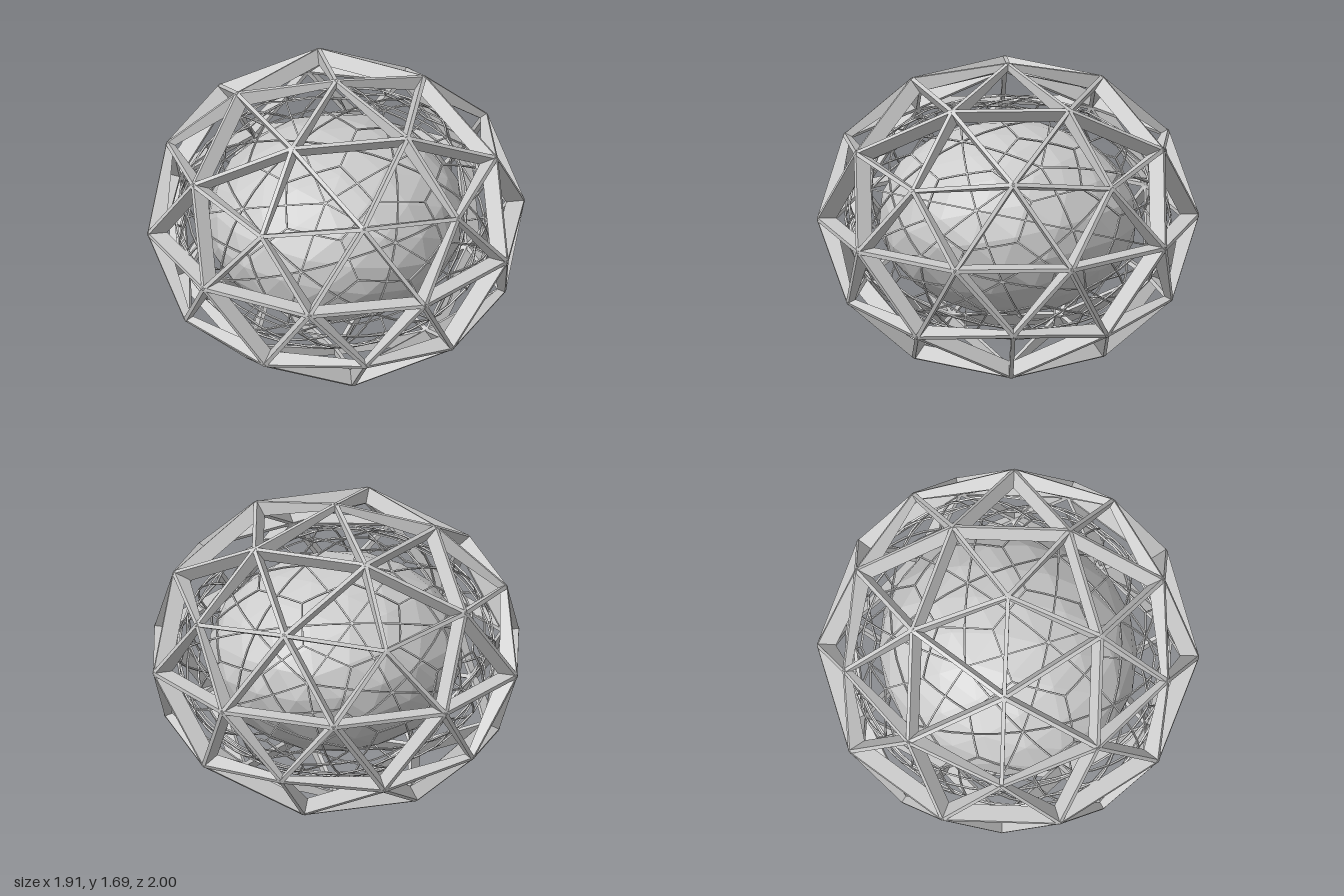
import * as THREE from 'three';
import { mergeGeometries } from 'three/addons/utils/BufferGeometryUtils.js';
import { ConvexGeometry } from 'three/addons/geometries/ConvexGeometry.js';

const CENTRE_Y = 0.845;
const grey = () => new THREE.MeshStandardMaterial({ color: 0xcccccc, flatShading: true });

// Index pairs of points closer than a limit
function closePairs(points, limit) {
  const pairs = [];
  points.forEach((p, i) => {
    for (let j = i + 1; j < points.length; j++) if (p.distanceTo(points[j]) < limit) pairs.push([i, j]);
  });
  return pairs;
}

// Two-frequency geodesic sphere with a corner at each pole; the 12 corners come first
function geodesic() {
  const points = [new THREE.Vector3(0, 1, 0), new THREE.Vector3(0, -1, 0)];
  const y = 1 / Math.sqrt(5), r = 2 * y;
  for (let k = 0; k < 5; k++) {
    const a = k * Math.PI * 0.4;
    const p = new THREE.Vector3(r * Math.cos(a), y, r * Math.sin(a));
    points.push(p, p.clone().negate());
  }
  for (const [i, j] of closePairs(points, 1.2)) {
    points.push(points[i].clone().add(points[j]).normalize());
  }
  return { points, edges: closePairs(points, 0.7) };
}

// Same net turned a quarter about z, so its poles lie along x
function turned({ points, edges }) {
  const axis = new THREE.Vector3(0, 0, 1);
  return { points: points.map((p) => p.clone().applyAxisAngle(axis, Math.PI / 2)), edges };
}

// Dual net: one node per triangle, hexagon and pentagon cells
function dual({ points, edges }) {
  const linked = new Set(edges.map((e) => e.join()));
  const faces = [];
  for (const [i, j] of edges) {
    for (let k = j + 1; k < points.length; k++) {
      if (linked.has([i, k].join()) && linked.has([j, k].join())) faces.push([i, j, k]);
    }
  }
  const nodes = faces.map((f) => {
    const c = new THREE.Vector3();
    f.forEach((i) => c.add(points[i]));
    return c.normalize();
  });
  const links = [];
  faces.forEach((f, i) => {
    for (let j = i + 1; j < faces.length; j++) {
      if (f.filter((v) => faces[j].includes(v)).length === 2) links.push([i, j]);
    }
  });
  return { points: nodes, edges: links };
}

// Radial fin from a to b; innerA and innerB are the shares of the radius it reaches in to
function fin(a, b, innerA, innerB, thickness) {
  const geo = new THREE.BoxGeometry(1, 1, 1);
  const side = new THREE.Vector3().crossVectors(b, a).normalize();
  const pos = geo.attributes.position, p = new THREE.Vector3();
  for (let i = 0; i < pos.count; i++) {
    const atA = pos.getX(i) < 0;
    p.copy(atA ? a : b);
    if (pos.getY(i) < 0) p.multiplyScalar(atA ? innerA : innerB);
    p.addScaledVector(side, pos.getZ(i) * thickness);
    pos.setXYZ(i, p.x, p.y, p.z);
  }
  geo.computeVertexNormals();
  return geo;
}

// Fins along every edge, each bent over the ellipsoid in a number of steps
function frame(name, { points, edges }, radii, innerAt, thickness, steps) {
  const parts = [];
  for (const [i, j] of edges) {
    const at = (s) => points[i].clone().lerp(points[j], s / steps).normalize().multiply(radii);
    const inner = (s) => THREE.MathUtils.lerp(innerAt(i), innerAt(j), s / steps);
    for (let s = 0; s < steps; s++) parts.push(fin(at(s), at(s + 1), inner(s), inner(s + 1), thickness));
  }
  const mesh = new THREE.Mesh(mergeGeometries(parts), grey());
  mesh.name = name;
  mesh.position.y = CENTRE_Y;
  return mesh;
}

export function createModel() {
  const group = new THREE.Group();
  group.name = 'nestedGeodesicShells';
  const sphere = geodesic();
  const net = turned(sphere);
  const cells = dual(net);

  // Outer triangulated frame: shallow at the 12 corners, deep at the other nodes
  const depth = (i) => (i < 12 ? 0.96 : 0.905);
  group.add(frame('outerFrame', sphere, new THREE.Vector3(1.003, 0.843, 0.998), depth, 0.021, 1));

  // Fine triangle net and cell net between frame and core
  const latticeRadii = new THREE.Vector3(0.82, 0.62, 0.87);
  group.add(frame('triangleLattice', net, latticeRadii, () => 0.988, 0.008, 4));
  group.add(frame('cellLattice', cells, latticeRadii, () => 0.988, 0.008, 3));

  // Faceted solid core
  const coreRadii = new THREE.Vector3(0.66, 0.495, 0.69);
  const corePoints = [...net.points, ...cells.points].map((p) => p.clone().multiply(coreRadii));
  const core = new THREE.Mesh(new ConvexGeometry(corePoints), grey());
  core.name = 'core';
  core.position.y = CENTRE_Y;
  group.add(core);
  return group;
}
